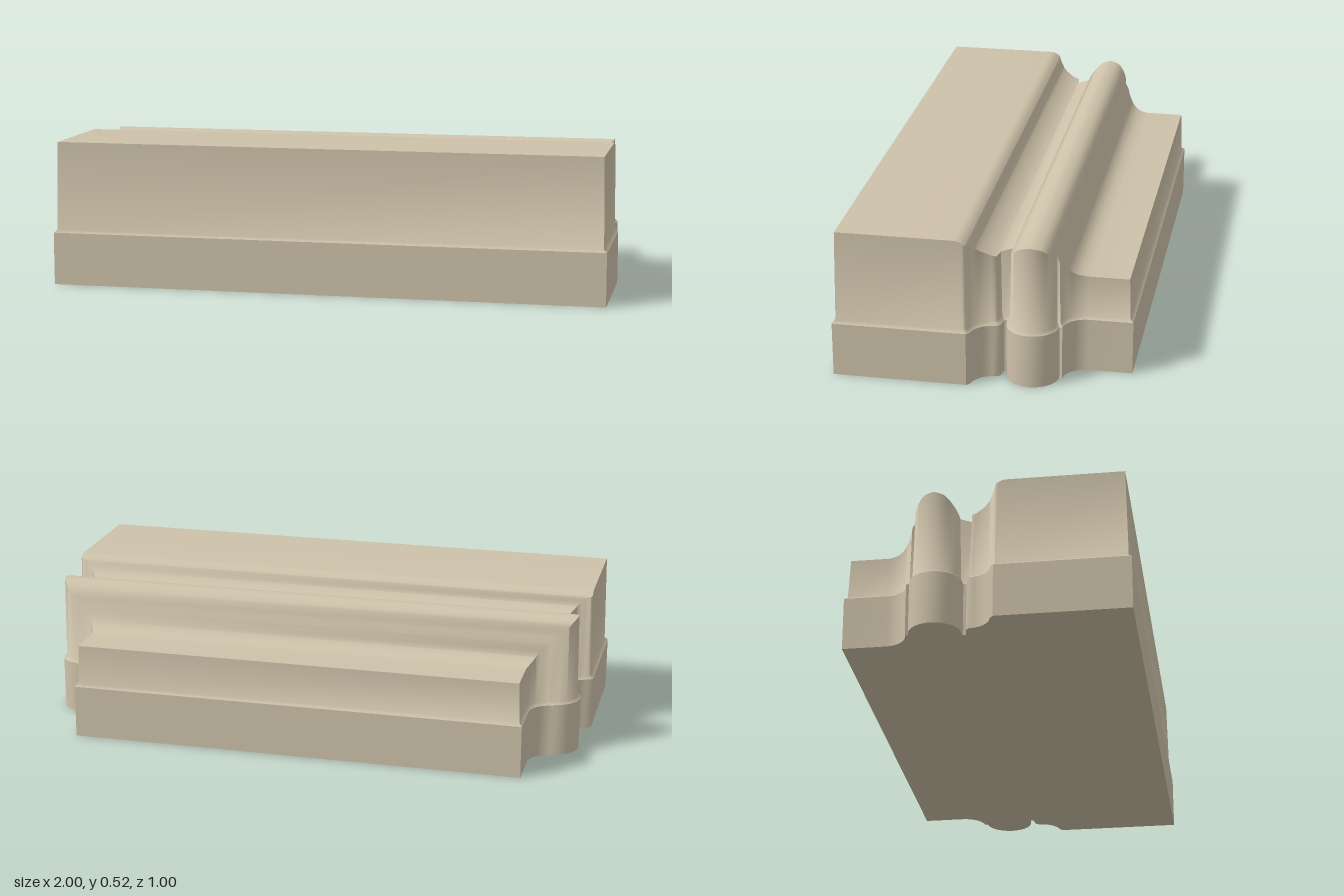
import * as THREE from 'three';
import { toCreasedNormals } from 'three/addons/utils/BufferGeometryUtils.js';

// Moulded top profile: [z, height], front to back
const PROFILE = [[0.5, 0.52], [0.075, 0.52], [0.06, 0.516], [0.04, 0.5], [0.02, 0.474], [0, 0.457], [-0.03, 0.442],
  [-0.065, 0.433], [-0.08, 0.436], [-0.1, 0.456], [-0.12, 0.48], [-0.14, 0.495], [-0.17, 0.502], [-0.2, 0.496],
  [-0.22, 0.483], [-0.24, 0.455], [-0.26, 0.412], [-0.28, 0.376], [-0.3, 0.356], [-0.32, 0.347], [-0.35, 0.343], [-0.5, 0.343]];

function heightAt(z) {
  for (let i = 1; i < PROFILE.length; i++) {
    const [z0, h0] = PROFILE[i - 1], [z1, h1] = PROFILE[i];
    if (z >= z1) return h0 + (h1 - h0) * Math.min(1, Math.max(0, (z0 - z) / (z0 - z1)));
  }
  return PROFILE.at(-1)[1];
}

// Points [x, z] on an arc, angles in degrees from +x towards +z
function arc(cx, cz, r, a0, a1, n) {
  return Array.from({ length: n + 1 }, (_, i) => {
    const a = THREE.MathUtils.degToRad(a0 + (a1 - a0) * i / n);
    return [cx + r * Math.cos(a), cz + r * Math.sin(a)];
  });
}

// Plan outline of the +x end: straight, cove, quirk, bead, cove, straight
function endOutline() {
  return [[1, 0.5], [1, 0.085], [1, 0.07], [1, 0.055], [1, 0.04],
    ...arc(1, -0.05, 0.08, 100, 180, 7), [0.91, -0.062], [0.872, -0.068], [0.872, -0.079],
    ...arc(0.89, -0.17, 0.09, 88, -88, 14),
    ...arc(0.9, -0.35, 0.08, 92, 180, 8), [0.82, -0.5]];
}

// Offset the outline inwards, keeping z running steadily to the back
function inset(points, d) {
  const n = points.length;
  let last = Infinity;
  return points.map(([x, z], i) => {
    const a = i ? points[i - 1] : [-x, z], b = i < n - 1 ? points[i + 1] : [-x, z];
    const n1 = new THREE.Vector2(a[1] - z, x - a[0]).normalize();
    const n2 = new THREE.Vector2(z - b[1], b[0] - x).normalize();
    const m = n1.clone().add(n2).normalize();
    const k = d / Math.max(0.6, m.dot(n1));
    last = Math.min(last - 0.0004, z - m.y * k);
    return [x - m.x * k, last];
  });
}

// Full closed ring from one end outline, mirrored to the other end
function ring(points, y) {
  const right = points.map(([x, z]) => [x, y(z), z]);
  return [...right, ...right.map(([x, h, z]) => [-x, h, z]).reverse()];
}

// Walls between stacked rings plus an optional strip cap
function shell(rings, capTop, crease) {
  const pos = [];
  const quad = (a, b, c, d) => pos.push(...a, ...b, ...c, ...a, ...c, ...d);
  for (let k = 0; k < rings.length - 1; k++) {
    const lo = rings[k], hi = rings[k + 1], n = lo.length;
    for (let i = 0; i < n; i++) {
      const j = (i + 1) % n;
      quad(lo[i], lo[j], hi[j], hi[i]);
    }
  }
  const cap = capTop ? rings.at(-1) : rings[0], n = cap.length;
  for (let i = 0; i < n / 2 - 1; i++) {
    const r0 = cap[i], r1 = cap[i + 1], l0 = cap[n - 1 - i], l1 = cap[n - 2 - i];
    if (capTop) quad(l0, r0, r1, l1);
    else quad(l0, l1, r1, r0);
  }
  const g = new THREE.BufferGeometry();
  g.setAttribute('position', new THREE.Float32BufferAttribute(pos, 3));
  return toCreasedNormals(g, crease);
}

export function createModel() {
  const group = new THREE.Group();
  group.name = 'mouldedBlock';
  const stone = new THREE.MeshStandardMaterial({ name: 'sandstone', color: 0xcdc1a9 });
  const outline = endOutline();
  const flat = (y) => () => y;

  // Straight-sided plinth
  const plinth = new THREE.Mesh(
    shell([ring(outline, flat(0)), ring(outline, flat(0.19))], false, 0.7), stone);
  plinth.name = 'plinth';

  // Bevelled ledge, slightly leaning walls and moulded top
  const moulding = new THREE.Mesh(shell([
    ring(outline, flat(0.19)),
    ring(inset(outline, 0.011), flat(0.2)),
    ring(inset(outline, 0.016), heightAt),
  ], true, 0.9), stone);
  moulding.name = 'moulding';

  group.add(plinth, moulding);
  return group;
}
